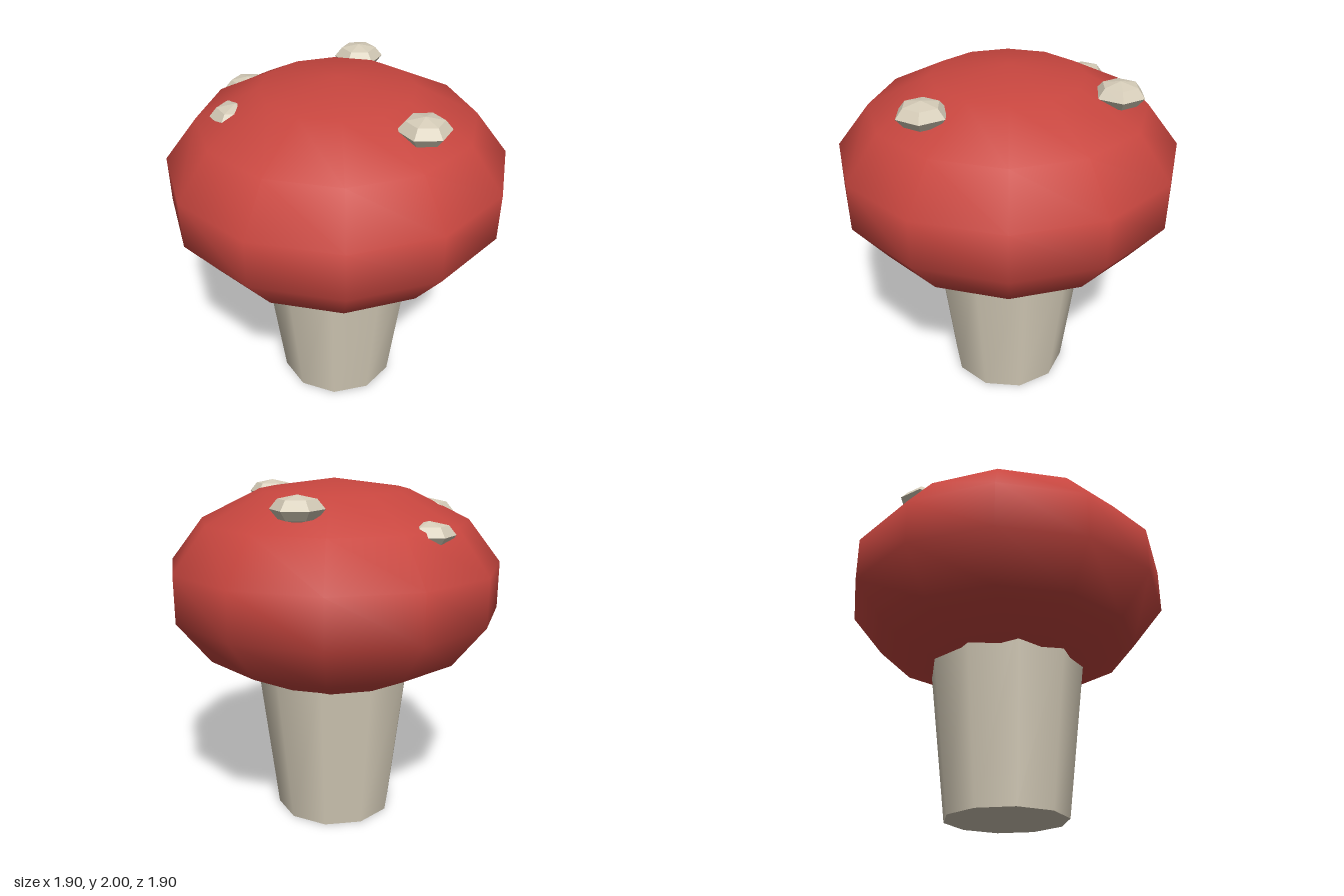
import * as THREE from 'three';

export function createModel() {
  const group = new THREE.Group();
  group.name = 'mushroom';

  const red = new THREE.MeshStandardMaterial({ color: 0xc8463f });
  red.name = 'cap red';
  const cream = new THREE.MeshStandardMaterial({ color: 0xd6cdb9 });
  cream.name = 'cream';

  const add = (name, geometry, material, x, y, z) => {
    const mesh = new THREE.Mesh(geometry, material);
    mesh.name = name;
    mesh.position.set(x, y, z);
    group.add(mesh);
    return mesh;
  };

  // Stem: ten sides, widening towards the cap
  add('stem', new THREE.CylinderGeometry(0.47, 0.35, 1, 10), cream, 0, 0.5, 0);

  // Cap: coarse flattened ball with smooth normals
  const capGeometry = new THREE.SphereGeometry(1, 12, 7);
  capGeometry.scale(0.975, 0.6, 0.975);
  add('cap', capGeometry, red, 0, 1.4, 0);

  // Spots: faceted flattened pebbles, points towards front and back
  const spotGeometry = new THREE.SphereGeometry(0.14, 6, 4)
    .rotateY(Math.PI / 2)
    .scale(1, 0.5, 1)
    .toNonIndexed();
  spotGeometry.computeVertexNormals();
  const spots = [
    [0.14, 1.89, 0.57],
    [0.42, 1.89, -0.425],
    [-0.21, 1.75, -0.645],
    [-0.5, 1.815, -0.21],
  ];
  spots.forEach((p, i) => add(`spot${i + 1}`, spotGeometry, cream, ...p));

  return group;
}
